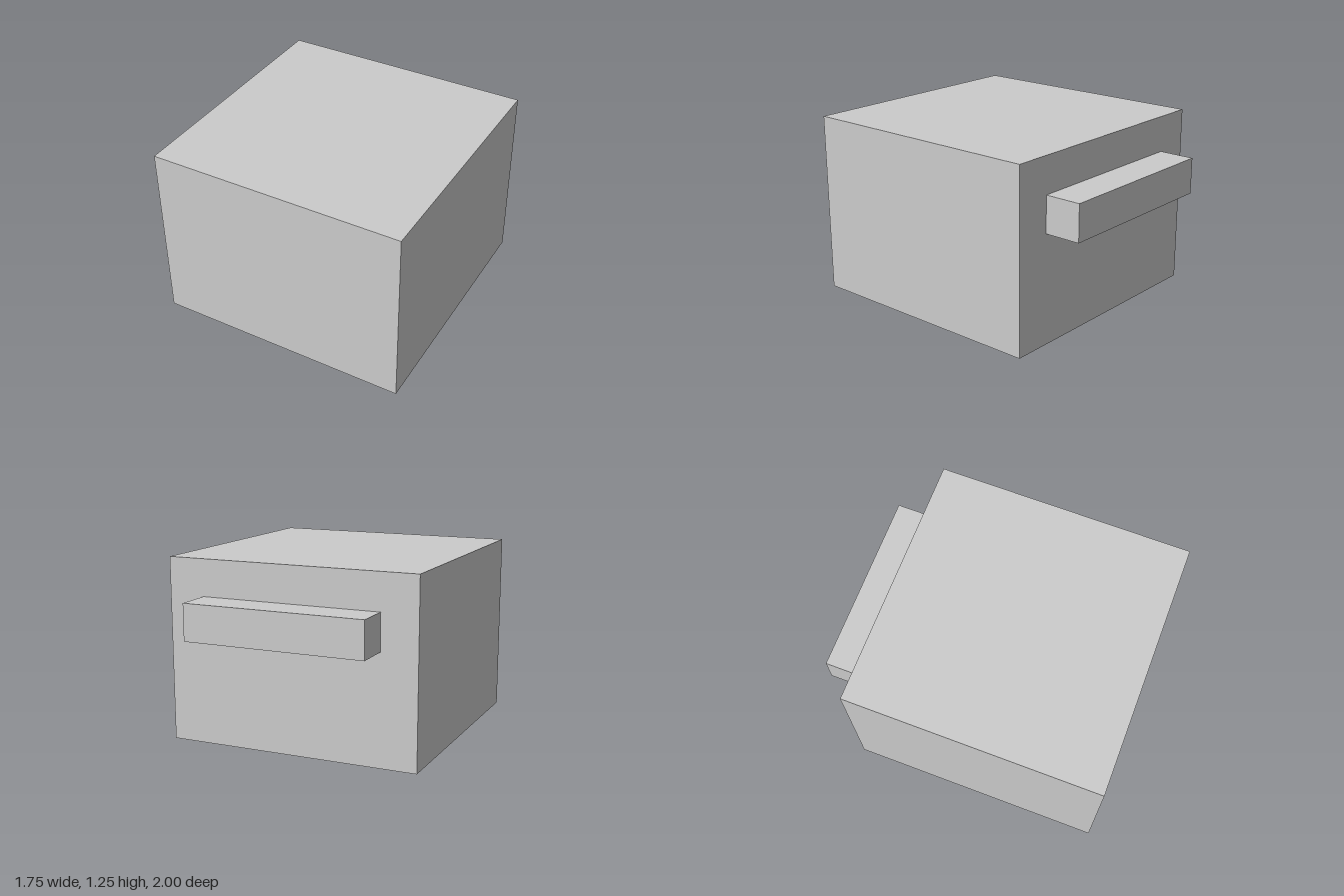
import * as THREE from 'three';

const material = new THREE.MeshStandardMaterial({ color: 0xcccccc, flatShading: true });

function addBox(group, name, size, position) {
  const mesh = new THREE.Mesh(new THREE.BoxGeometry(...size), material);
  mesh.name = name;
  mesh.position.set(...position);
  group.add(mesh);
}

export function createModel() {
  const model = new THREE.Group();
  model.name = 'blockWithRearBar';

  // Main block, standing on the ground
  addBox(model, 'body', [1.75, 1.25, 1.75], [0, 0.625, 0.125]);

  // Horizontal bar on the back face
  addBox(model, 'rearBar', [1.25, 0.25, 0.25], [0, 0.875, -0.875]);

  return model;
}
